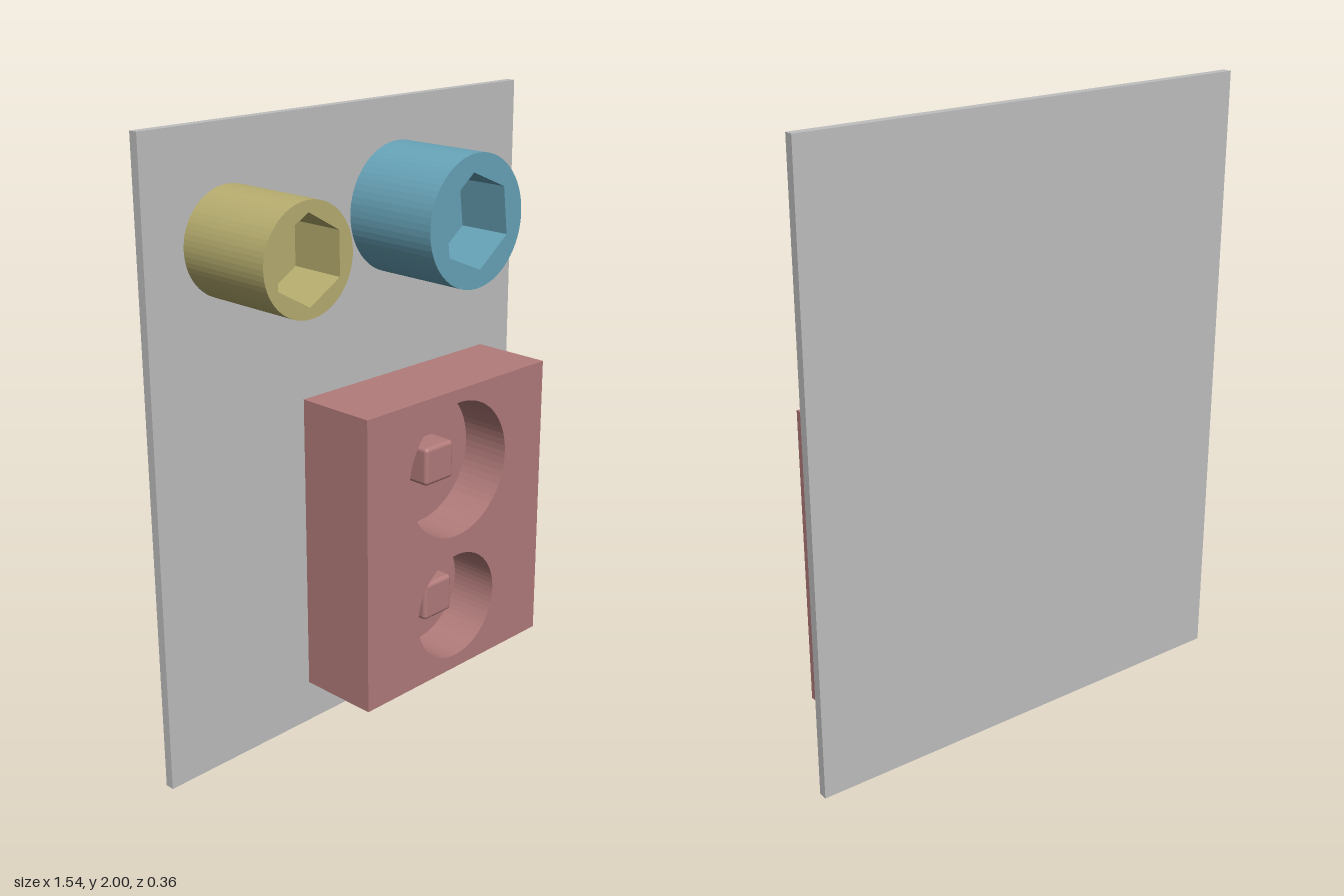
import * as THREE from 'three';
import { RoundedBoxGeometry } from 'three/addons/geometries/RoundedBoxGeometry.js';

const BACK = -0.15; // front surface of the backing plate

function material(name, color) {
  const m = new THREE.MeshStandardMaterial({ color });
  m.name = name;
  return m;
}

function circle(PathType, x, y, r) {
  const p = new PathType();
  p.absarc(x, y, r, 0, Math.PI * 2, false);
  return p;
}

function hexagon(r, tilt) {
  const points = [];
  for (let i = 0; i < 6; i++) {
    const a = Math.PI / 2 + tilt + i * Math.PI / 3;
    points.push(new THREE.Vector2(r * Math.cos(a), r * Math.sin(a)));
  }
  return new THREE.Path(points);
}

// Extrudes a shape forward from z0 to z1
function slab(name, shape, z0, z1, mat) {
  const geo = new THREE.ExtrudeGeometry(shape, { depth: z1 - z0, bevelEnabled: false, curveSegments: 32 });
  geo.translate(0, 0, z0);
  const mesh = new THREE.Mesh(geo, mat);
  mesh.name = name;
  return mesh;
}

// Solid base with a holed layer in front makes a blind recess
function recessed(name, makeShape, holes, front, depth, mat) {
  const group = new THREE.Group();
  group.name = name;
  const open = makeShape();
  open.holes.push(...holes);
  group.add(
    slab(name + 'Base', makeShape(), BACK, front - depth, mat),
    slab(name + 'Rim', open, front - depth, front, mat)
  );
  return group;
}

export function createModel() {
  const model = new THREE.Group();
  model.name = 'socketPanel';
  const grey = material('plateGrey', 0xbfbfbf);
  const yellow = material('yellow', 0xb8ae70);
  const blue = material('blue', 0x68a4b9);
  const red = material('dustyRed', 0xb27c7b);

  // Backing plate
  const plate = new THREE.Mesh(new THREE.BoxGeometry(1.54, 2, 0.03), grey);
  plate.name = 'backPlate';
  plate.position.set(0, 1, -0.165);
  model.add(plate);

  // Cylinders with hexagonal sockets
  const cylinders = [
    ['smallHexSocket', -0.468, 0.164, 0.131, 0, yellow],
    ['largeHexSocket', 0.216, 0.206, 0.151, 0.12, blue]
  ];
  for (const [name, x, r, hexR, tilt, mat] of cylinders) {
    const socket = recessed(name, () => circle(THREE.Shape, 0, 0, r), [hexagon(hexR, tilt)], 0.18, 0.18, mat);
    socket.position.set(x, 1.66, 0);
    model.add(socket);
  }

  // Block with two round recesses
  const rectangle = () => new THREE.Shape([
    new THREE.Vector2(-0.196, 0.14), new THREE.Vector2(0.628, 0.14),
    new THREE.Vector2(0.628, 1.122), new THREE.Vector2(-0.196, 1.122)
  ]);
  const wells = [['upper', 0.85, 0.228], ['lower', 0.37, 0.183]];
  const holes = wells.map(([, y, r]) => circle(THREE.Path, 0.216, y, r));
  model.add(recessed('block', rectangle, holes, 0.125, 0.17, red));

  // Rounded square peg in each recess
  for (const [side, y] of wells) {
    const peg = new THREE.Mesh(new RoundedBoxGeometry(0.13, 0.13, 0.12, 4, 0.014), red);
    peg.name = side + 'Peg';
    peg.position.set(0.216, y, -0.015);
    model.add(peg);
  }
  return model;
}
